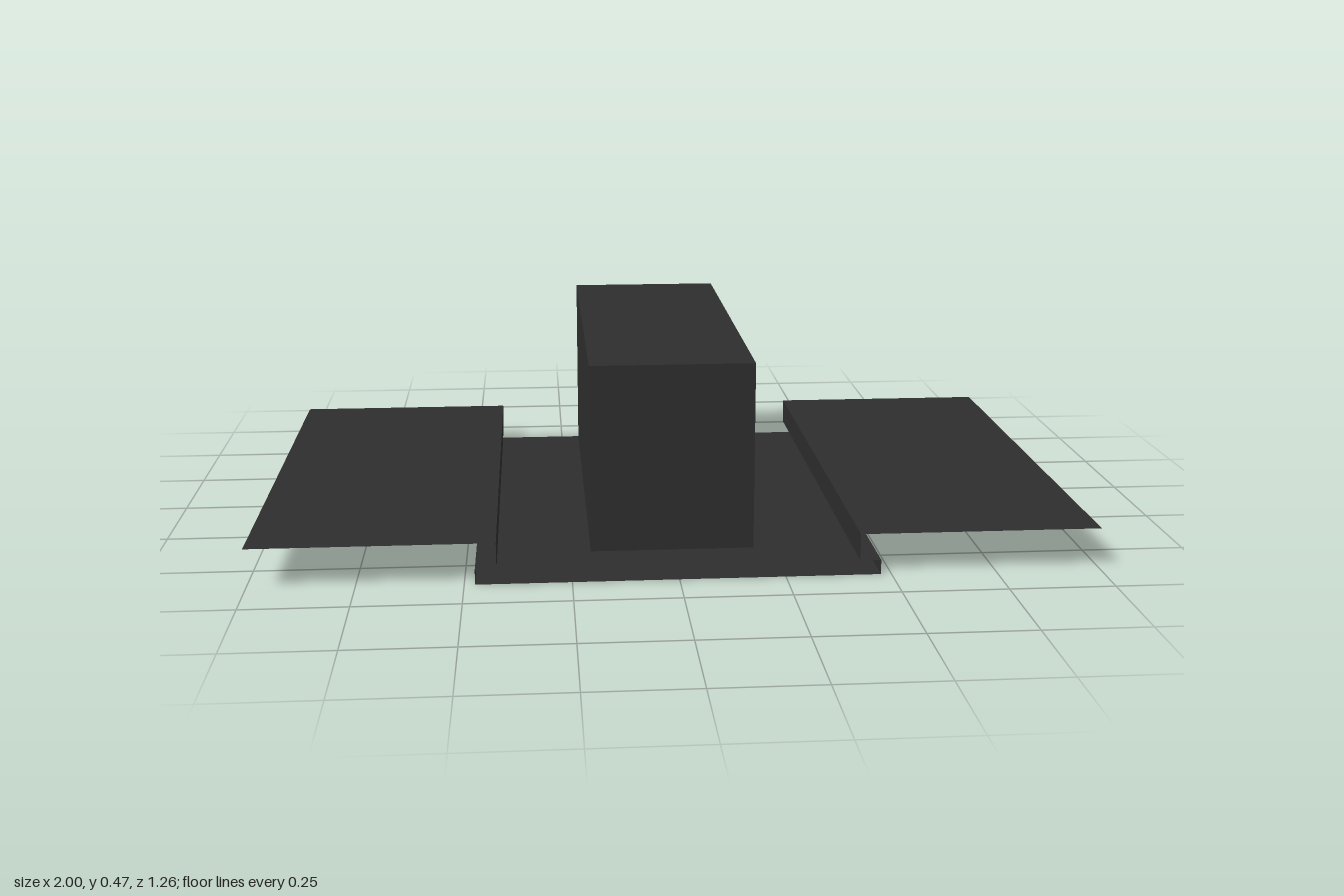
import * as THREE from 'three';

const charcoal = new THREE.MeshStandardMaterial({ color: 0x2d2d2d, side: THREE.DoubleSide });
charcoal.name = 'charcoal';

const HALF_DEPTH = 0.63;   // sheet runs from -z to +z
const BOX_FRONT = 0.42;    // front end of the raised duct
const BOX_HALF = 0.2;
const BOX_HEIGHT = 0.465;

// Folded sheet: a polyline of [x, y] points swept from z0 to z1, with hard folds
function foldedSheet(name, profile, z0, z1) {
  const positions = [];
  for (let i = 0; i < profile.length - 1; i++) {
    const [ax, ay] = profile[i];
    const [bx, by] = profile[i + 1];
    positions.push(ax, ay, z1, bx, by, z1, bx, by, z0);
    positions.push(ax, ay, z1, bx, by, z0, ax, ay, z0);
  }
  const geometry = new THREE.BufferGeometry();
  geometry.setAttribute('position', new THREE.Float32BufferAttribute(positions, 3));
  geometry.computeVertexNormals();
  const mesh = new THREE.Mesh(geometry, charcoal);
  mesh.name = name;
  return mesh;
}

// Upright end wall of the duct, facing +z or -z
function endWall(name, z, facing) {
  const geometry = new THREE.PlaneGeometry(BOX_HALF * 2, BOX_HEIGHT);
  if (facing < 0) geometry.rotateY(Math.PI);
  const mesh = new THREE.Mesh(geometry, charcoal);
  mesh.position.set(0, BOX_HEIGHT / 2, z);
  mesh.name = name;
  return mesh;
}

export function createModel() {
  const model = new THREE.Group();
  model.name = 'foldedPanel';

  // Floor side, stepped lip, riser and wing, for the left half
  const sideProfile = [
    [BOX_HALF, 0], [0.475, 0], [0.475, 0.035], [0.425, 0.035], [0.425, 0.1], [1, 0.1],
  ];
  // Mirrored profile is reversed so the floor and wing still face up
  const mirrored = sideProfile.map(([x, y]) => [-x, y]).reverse();
  model.add(foldedSheet('leftWing', sideProfile, -HALF_DEPTH, HALF_DEPTH));
  model.add(foldedSheet('rightWing', mirrored, -HALF_DEPTH, HALF_DEPTH));

  // Floor strip in front of the duct
  model.add(foldedSheet('frontFloor', [[-BOX_HALF, 0], [BOX_HALF, 0]], BOX_FRONT, HALF_DEPTH));

  // Raised duct, open underneath
  const duct = new THREE.Group();
  duct.name = 'duct';
  duct.add(foldedSheet('ductCover', [
    [-BOX_HALF, 0], [-BOX_HALF, BOX_HEIGHT], [BOX_HALF, BOX_HEIGHT], [BOX_HALF, 0],
  ], -HALF_DEPTH, BOX_FRONT));
  duct.add(endWall('ductFront', BOX_FRONT, 1));
  duct.add(endWall('ductBack', -HALF_DEPTH, -1));
  model.add(duct);

  return model;
}
